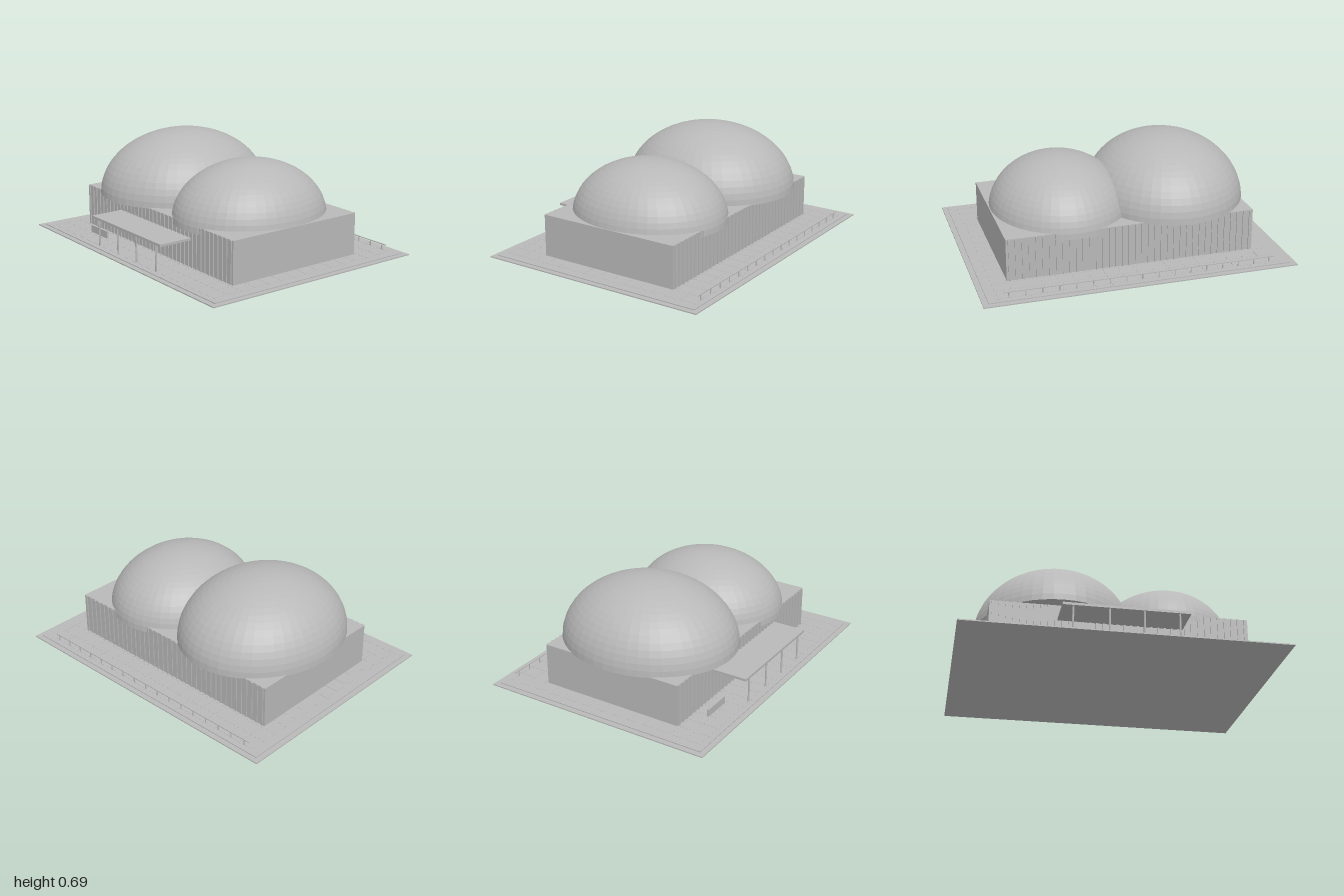
import * as THREE from 'three';

export function createModel() {
  const root = new THREE.Group();
  root.name = 'domedHall';

  const grey = new THREE.MeshStandardMaterial({ color: 0xb8b8b8, flatShading: true, side: THREE.DoubleSide });
  grey.name = 'concrete grey';

  function add(parent, name, geometry, x = 0, y = 0, z = 0) {
    const mesh = new THREE.Mesh(geometry, grey);
    mesh.name = name;
    mesh.position.set(x, y, z);
    parent.add(mesh);
    return mesh;
  }
  // Box given by its limits on each axis
  function box(parent, name, x0, x1, y0, y1, z0, z1) {
    const g = new THREE.BoxGeometry(x1 - x0, y1 - y0, z1 - z0);
    return add(parent, name, g, (x0 + x1) / 2, (y0 + y1) / 2, (z0 + z1) / 2);
  }
  function group(name) {
    const g = new THREE.Group();
    g.name = name;
    root.add(g);
    return g;
  }

  // Ground slab with a raised paved area
  box(root, 'groundSlab', -1, 1, 0, 0.007, -0.775, 0.775);
  box(root, 'pavedArea', -0.965, 0.965, 0.007, 0.012, -0.74, 0.74);

  // Slim paving joints
  const joints = group('pavingJoints');
  for (let i = -9; i <= 9; i++) {
    box(joints, 'joint', i * 0.1 - 0.001, i * 0.1 + 0.001, 0.012, 0.0128, -0.72, 0.72);
  }
  for (let i = -7; i <= 7; i++) {
    box(joints, 'joint', -0.91, 0.91, 0.012, 0.0128, i * 0.1 - 0.001, i * 0.1 + 0.001);
  }

  // Hall walls, with vertical ribs on the front and back
  box(root, 'hall', -0.805, 0.802, 0.012, 0.285, -0.484, 0.484);
  const ribs = group('wallRibs');
  const ribCount = 38;
  for (let i = 0; i < ribCount; i++) {
    const x = -0.785 + (1.567 * i) / (ribCount - 1);
    for (const side of [-1, 1]) {
      add(ribs, 'wallRib', new THREE.BoxGeometry(0.012, 0.271, 0.008), x, 0.1485, side * 0.487);
    }
  }

  // Two elliptical dome shells, overlapping in the middle
  function dome(name, x, y, rx, height, rz) {
    const g = new THREE.SphereGeometry(1, 48, 16, 0, Math.PI * 2, 0, Math.PI / 2);
    g.scale(rx, height, rz);
    add(root, name, g, x, y, 0);
  }
  dome('largeDome', -0.36, 0.28, 0.512, 0.415, 0.58);
  dome('smallDome', 0.35, 0.245, 0.45, 0.37, 0.515);

  // Entrance canopy on four posts
  const canopy = group('entranceCanopy');
  box(canopy, 'canopyRoof', -0.39, 0.386, 0.184, 0.2, 0.48, 0.71);
  for (const x of [-0.325, -0.106, 0.104, 0.32]) {
    add(canopy, 'canopyPost', new THREE.CylinderGeometry(0.006, 0.006, 0.174, 8), x, 0.099, 0.697);
  }

  // Low sign wall in front of the hall
  box(root, 'signWall', -0.615, -0.42, 0.012, 0.06, 0.573, 0.585);

  // Rear fence
  const fence = group('rearFence');
  box(fence, 'fenceRail', -0.87, 0.867, 0.045, 0.05, -0.702, -0.697);
  for (let i = 0; i < 17; i++) {
    const x = -0.835 + (1.67 * i) / 16;
    box(fence, 'fencePost', x - 0.003, x + 0.003, 0.012, 0.046, -0.702, -0.697);
  }

  return root;
}
